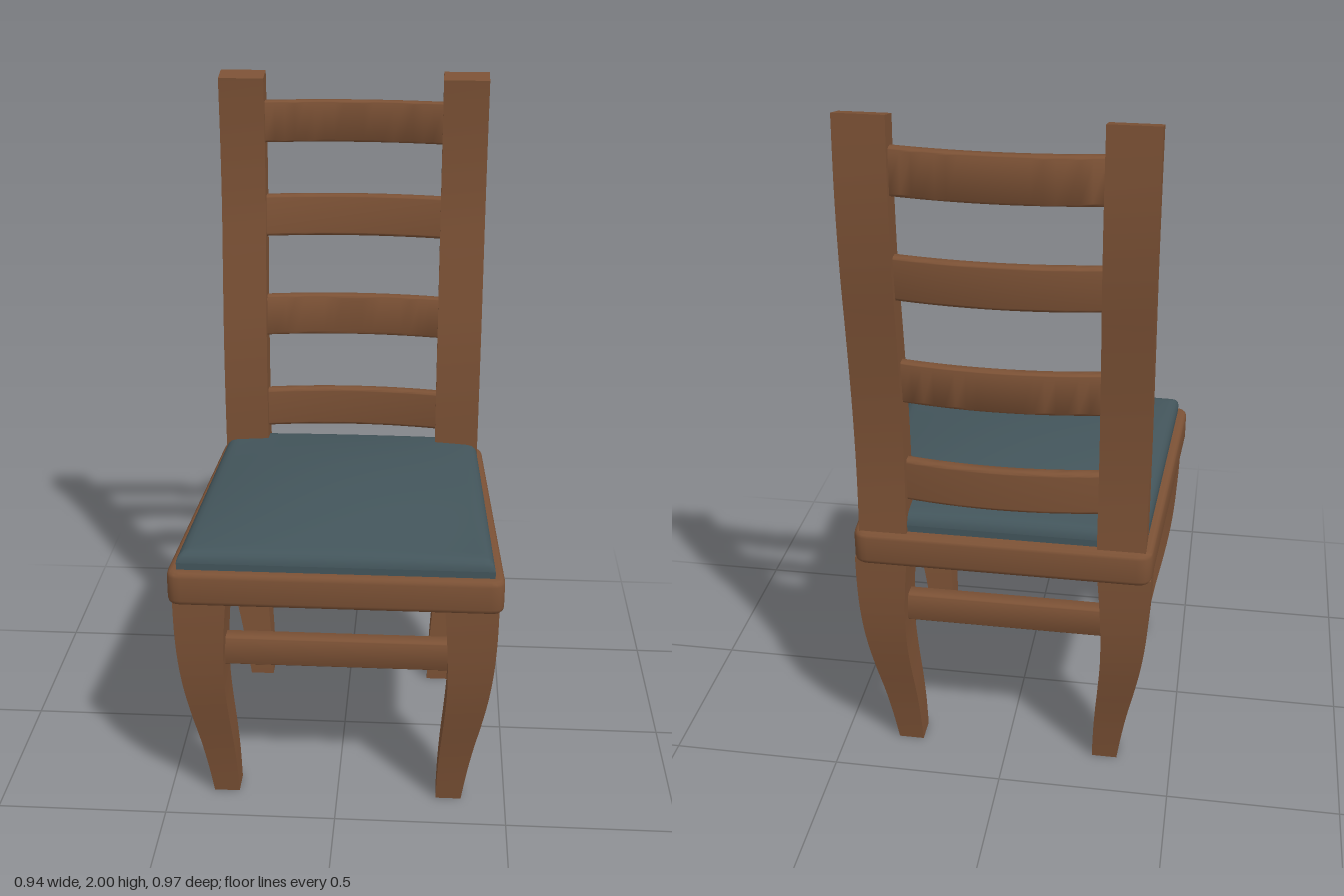
import * as THREE from 'three';
import { toCreasedNormals } from 'three/addons/utils/BufferGeometryUtils.js';

const wood = new THREE.MeshStandardMaterial({ color: 0x7b5135 });
wood.name = 'brown wood';
const fabric = new THREE.MeshStandardMaterial({ color: 0x43555b });
fabric.name = 'slate fabric';

// Smooth curve through values evenly spaced in height from y0 to y1
function profile(values, y0, y1) {
  return new THREE.SplineCurve(values.map((v, i) =>
    new THREE.Vector2(v, y0 + (y1 - y0) * i / (values.length - 1))));
}

const POST_Y0 = 0.78, POST_Y1 = 2;
const postFront = profile([-0.339, -0.339, -0.35, -0.375, -0.402, -0.411, -0.405], POST_Y0, POST_Y1);
const postBack = profile([-0.435, -0.427, -0.434, -0.453, -0.475, -0.483, -0.475], POST_Y0, POST_Y1);
const legOuter = profile([0.37, 0.384, 0.401, 0.421, 0.438, 0.449, 0.454, 0.455], 0, 0.7);
const legInner = profile([0.295, 0.298, 0.304, 0.312, 0.318, 0.318, 0.313, 0.305], 0, 0.7);

// Move every vertex of a geometry by a rule
function warp(geometry, rule) {
  const p = geometry.attributes.position, v = new THREE.Vector3();
  for (let i = 0; i < p.count; i++) {
    rule(v.fromBufferAttribute(p, i));
    p.setXYZ(i, v.x, v.y, v.z);
  }
  geometry.computeVertexNormals();
  return geometry;
}

function add(group, name, geometry, material = wood) {
  const mesh = new THREE.Mesh(geometry, material);
  mesh.name = name;
  group.add(mesh);
  return mesh;
}

// Bar along x with softly rounded long edges
function barGeometry(length, height, thick, steps = 1) {
  const w = thick / 2, h = height / 2, r = 0.01;
  const s = new THREE.Shape();
  s.moveTo(-w + r, -h);
  s.absarc(w - r, -h + r, r, -Math.PI / 2, 0);
  s.absarc(w - r, h - r, r, 0, Math.PI / 2);
  s.absarc(-w + r, h - r, r, Math.PI / 2, Math.PI);
  s.absarc(-w + r, -h + r, r, Math.PI, Math.PI * 1.5);
  const g = new THREE.ExtrudeGeometry(s, { depth: length, steps, bevelEnabled: false, curveSegments: 3 });
  return g.translate(0, 0, -length / 2).rotateY(Math.PI / 2);
}

// Back post, following the side profile, with a slightly sloping top
function postGeometry() {
  return warp(new THREE.BoxGeometry(0.136, 1, 1, 1, 28, 1), v => {
    const t = v.y + 0.5, front = v.z > 0;
    const p = (front ? postFront : postBack).getPoint(t);
    v.set(v.x, p.y - (front && t > 0.999 ? 0.014 : 0), p.x);
  });
}

// Curved tapering leg, placed at one corner by the signs and offsets
function legGeometry(sx, sz, dx, dz) {
  return warp(new THREE.BoxGeometry(1, 1, 1, 1, 20, 1), v => {
    const t = v.y + 0.5;
    const o = legOuter.getPoint(t), i = legInner.getPoint(t);
    v.set(sx * ((v.x * sx > 0 ? o.x : i.x) + dx), o.y, sz * ((v.z * sz > 0 ? o.x : i.x) + dz));
  });
}

// Ladder slat bowed backwards and leaning with the posts
function slatGeometry(y) {
  const g = warp(barGeometry(0.6, 0.126, 0.036, 20), v => {
    v.y += y;
    const t = (v.y - POST_Y0) / (POST_Y1 - POST_Y0);
    const mid = (postFront.getPoint(t).x + postBack.getPoint(t).x) / 2;
    v.z += mid - 0.024 * (1 - (v.x / 0.27) ** 2);
  });
  return toCreasedNormals(g, 0.7);
}

// Tapered seat board with rounded corners and edges
function seatGeometry() {
  const corners = [[-0.422, -0.452], [0.422, -0.452], [0.47, 0.483], [-0.47, 0.483]]
    .map(c => new THREE.Vector2(...c));
  const s = new THREE.Shape();
  corners.forEach((c, i) => {
    const a = c.clone().add(corners[(i + 3) % 4].clone().sub(c).setLength(0.04));
    const b = c.clone().add(corners[(i + 1) % 4].clone().sub(c).setLength(0.04));
    if (i === 0) s.moveTo(a.x, a.y); else s.lineTo(a.x, a.y);
    s.quadraticCurveTo(c.x, c.y, b.x, b.y);
  });
  s.closePath();
  const r = 0.016;
  const g = new THREE.ExtrudeGeometry(s, {
    depth: 0.102 - 2 * r, bevelSize: r, bevelThickness: r, bevelOffset: -r, bevelSegments: 3, curveSegments: 5,
  });
  g.rotateX(Math.PI / 2).translate(0, 0.79 - r, 0);
  return toCreasedNormals(g, 0.7);
}

// Domed cushion, tapered like the seat, with a rounded upper edge
function cushionGeometry() {
  const r = 0.03, z0 = -0.42, z1 = 0.457;
  return warp(new THREE.BoxGeometry(2, 1, 2, 32, 1, 32), v => {
    const u = Math.sin(v.x * Math.PI / 2), w = Math.sin(v.z * Math.PI / 2);
    const z = THREE.MathUtils.lerp(z0, z1, (w + 1) / 2);
    const half = 0.42 + 0.045 * z;
    const d = Math.min(half * (1 - Math.abs(u)), (1 - Math.abs(w)) * (z1 - z0) / 2, r);
    const top = 0.84 + 0.05 * (1 - u * u) * (1 - w * w) - r + Math.sqrt(r * r - (r - d) ** 2);
    v.set(u * half, v.y > 0 ? top : 0.785, z);
  });
}

export function createModel() {
  const chair = new THREE.Group();
  chair.name = 'chair';

  add(chair, 'seatFrame', seatGeometry());
  add(chair, 'cushion', cushionGeometry(), fabric);

  // Mirrored posts, legs and side stretchers
  for (const [side, sx] of [['left', 1], ['right', -1]]) {
    add(chair, side + 'BackPost', postGeometry()).position.x = sx * 0.337;
    add(chair, side + 'FrontLeg', legGeometry(sx, 1, 0, 0.012));
    add(chair, side + 'BackLeg', legGeometry(sx, -1, -0.033, -0.02));
    const rail = add(chair, side + 'Stretcher', toCreasedNormals(barGeometry(0.7, 0.09, 0.05), 0.7));
    rail.position.set(sx * 0.367, 0.51, 0.017);
    rail.rotation.y = Math.PI / 2 + sx * 0.045;
  }

  // Front and back stretchers
  for (const [name, z, length] of [['frontStretcher', 0.395, 0.7], ['backStretcher', -0.363, 0.64]]) {
    add(chair, name, toCreasedNormals(barGeometry(length, 0.09, 0.05), 0.7)).position.set(0, 0.51, z);
  }

  // Ladder back
  [0.945, 1.252, 1.564, 1.852].forEach((y, i) => add(chair, 'backSlat' + (i + 1), slatGeometry(y)));

  return chair;
}
